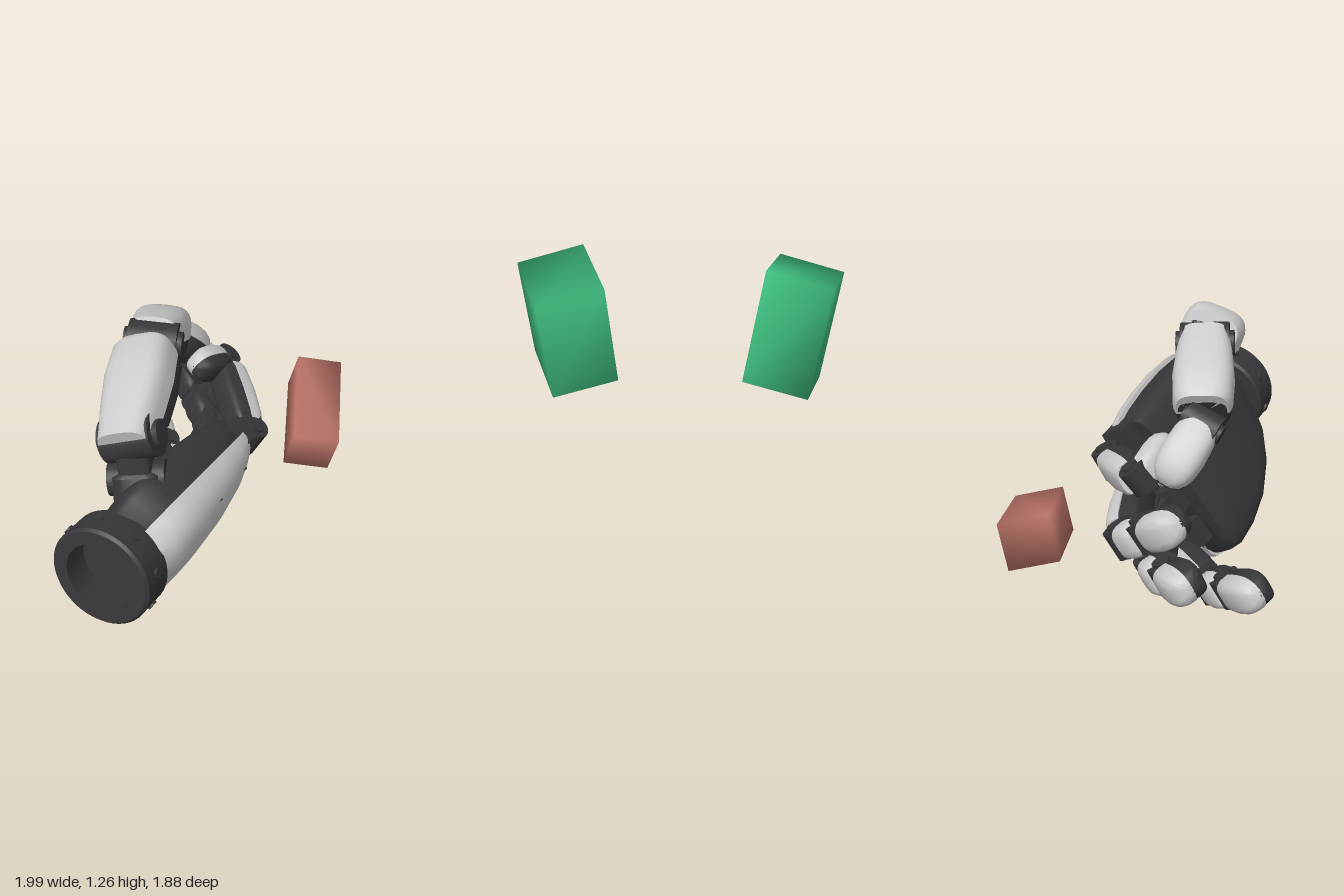
import * as THREE from 'three';
import { mergeVertices, toCreasedNormals } from 'three/addons/utils/BufferGeometryUtils.js';

const V = (x, y, z) => new THREE.Vector3(x, y, z);
const light = new THREE.MeshStandardMaterial({ color: 0xcccccc });
const dark = new THREE.MeshStandardMaterial({ color: 0x37373a });
const green = new THREE.MeshStandardMaterial({ color: 0x3fbf7f });
const red = new THREE.MeshStandardMaterial({ color: 0xbb7468 });

function add(parent, name, geometry, material) {
  const mesh = new THREE.Mesh(geometry, material);
  mesh.name = name;
  parent.add(mesh);
  return mesh;
}

// Skin over rounded sections [z, x, y, halfWidth, halfHeight]; floor flattens the
// underside, slant(x, z) leans the sections along z
function loft(sections, power = 3.5, floor = -1, n = 28, slant = () => 0) {
  const pos = [], idx = [];
  const soft = (s) => Math.sign(s) * Math.pow(Math.abs(s), 2 / power);
  for (const [z, x, y, w, h] of sections) {
    for (let j = 0; j < n; j++) {
      const a = (j / n) * Math.PI * 2, px = x + w * soft(Math.cos(a));
      pos.push(px, y + h * Math.max(soft(Math.sin(a)), floor), z + slant(px, z));
    }
  }
  const last = sections.length - 1;
  for (let i = 0; i < last; i++) {
    for (let j = 0; j < n; j++) {
      const a = i * n + j, b = i * n + ((j + 1) % n);
      idx.push(a, b, b + n, a, b + n, a + n);
    }
  }
  for (const i of [0, last]) {
    const [z, x, y] = sections[i], c = pos.length / 3;
    pos.push(x, y, z + slant(x, z));
    for (let j = 0; j < n; j++) {
      const a = i * n + j, b = i * n + ((j + 1) % n);
      i ? idx.push(a, b, c) : idx.push(b, a, c);
    }
  }
  const g = new THREE.BufferGeometry();
  g.setAttribute('position', new THREE.Float32BufferAttribute(pos, 3));
  g.setIndex(idx);
  return toCreasedNormals(g, 0.75);
}

// Group at p whose z runs along dir, x along the hinge and y out of the back
function frame(name, p, dir, hinge) {
  const z = dir.clone().normalize();
  const x = hinge.clone().addScaledVector(z, -hinge.dot(z)).normalize();
  const y = z.clone().cross(x);
  const g = new THREE.Group();
  g.name = name;
  g.applyMatrix4(new THREE.Matrix4().makeBasis(x, y, z).setPosition(p));
  return g;
}

const pin = (r, len) => new THREE.CylinderGeometry(r, r, len, 24).rotateZ(Math.PI / 2);

// One finger segment: hinge, dark core, pale cover on the back.
// start is where the cover begins along the length, lift its height over the core
function segment(parent, name, p, q, hinge, w, t, tip, start = 0.06, lift = 1.08) {
  const dir = q.clone().sub(p), L = dir.length();
  const g = frame(name, p, dir, hinge);
  parent.add(g);
  add(g, 'hinge', pin(t * 0.42, w * 0.8), dark);
  for (const s of [-1, 1]) {
    add(g, 'hingeCap', pin(t * 0.25, w * 0.1), dark).position.x = s * w * 0.43;
    add(g, 'hingeFork', new THREE.BoxGeometry(w * 0.16, t * 0.6, L * 0.28), dark)
      .position.set(s * w * 0.32, 0, L * 0.13);
  }
  const a = w / 2, b = t / 2;
  // [fraction of length, scale]
  const steps = tip
    ? [[0.2, 0.94], [0.5, 1], [0.7, 0.95], [0.84, 0.83], [0.94, 0.6], [1, 0.25]]
    : [[0.2, 0.92], [0.5, 1], [0.8, 0.95], [0.87, 0.84]];
  const body = (first, sx, sy, y) => [[first, 0.78], ...steps].map(([f, s]) => [f * L, 0, y, a * sx * s, b * sy * s]);
  add(g, 'core', loft(body(0.12, 0.93, 0.9, -b * 0.1), 4), dark);
  add(g, 'cover', loft(body(start, 1, lift, 0), 3.4, 0), light);
}

// Block with edge vectors a, b, c, softly shaded
function block(parent, name, center, a, b, c, material) {
  let g = new THREE.BoxGeometry(1, 1, 1);
  g.deleteAttribute('normal');
  g.deleteAttribute('uv');
  g = mergeVertices(g);
  g.applyMatrix4(new THREE.Matrix4().makeBasis(a, b, c));
  g.computeVertexNormals();
  add(parent, name, g, material).position.copy(center);
}

export function createModel() {
  const model = new THREE.Group();
  model.name = 'robotHandWithBlocks';

  // Loose blocks
  block(model, 'greenBlock', V(0.767, 1.009, 0.722),
    V(0.166, 0.07, 0.157), V(-0.108, 0.404, -0.06), V(-0.18, -0.022, 0.207), green);
  block(model, 'redBlock', V(0.366, 0.374, -0.14),
    V(0.31, 0.1, -0.268), V(0.002, 0.16, 0.055), V(0.13, -0.037, 0.12), red);

  // Hand frame: x to the thumb side, y out of the back of the hand, z to the fingers
  const across = V(0.26, 0.85, 0.45);
  const hand = frame('hand', V(-0.875, 0.49, 0.065), V(0.94, -0.13, -0.31), across);
  model.add(hand);

  // Wrist ring with bolts around it
  const ring = [[0.13, -0.07], [0.178, -0.07], [0.188, -0.06], [0.188, 0.06], [0.178, 0.07], [0.13, 0.07], [0.13, -0.07]];
  const wrist = new THREE.LatheGeometry(ring.map(([r, y]) => new THREE.Vector2(r, y)), 48);
  add(hand, 'wristRing', toCreasedNormals(wrist.rotateX(Math.PI / 2), 0.6), dark);
  add(hand, 'wristPlate', new THREE.CylinderGeometry(0.135, 0.135, 0.03, 40).rotateX(Math.PI / 2), dark).position.z = 0.05;
  for (let i = 0; i < 8; i++) {
    const a = (i / 8) * Math.PI * 2;
    const bolt = add(hand, 'wristBolt', new THREE.CylinderGeometry(0.018, 0.018, 0.012, 16), dark);
    bolt.position.set(-Math.sin(a) * 0.189, Math.cos(a) * 0.189, 0);
    bolt.rotation.z = a;
  }

  // Palm: [along, top edge, bottom edge, back height], the finger end leaning back below
  const lean = (x, z) => 0.13 * (x - 0.25) * (z / 0.72) ** 2;
  const outline = [[0.05, 0.19, -0.17, 0.13], [0.09, 0.24, -0.25, 0.16], [0.18, 0.272, -0.34, 0.178],
    [0.32, 0.28, -0.415, 0.18], [0.48, 0.275, -0.455, 0.17], [0.62, 0.262, -0.468, 0.15],
    [0.69, 0.25, -0.455, 0.13], [0.725, 0.24, -0.42, 0.115]];
  add(hand, 'palm', loft(outline.map(([z, t, b, h]) =>
    [z, (t + b) / 2, -0.035, (t - b) / 2 - 0.014, h * 0.64]), 4.5, -1, 48, lean), dark);
  add(hand, 'backCover', loft(outline.map(([z, t, b, h]) =>
    [z, (t + b) / 2, 0, (t - b) / 2, h]), 2.8, 0.08, 48, lean), light);
  for (const [x, y, z] of [[0.21, 0.107, 0.38], [0.19, 0.092, 0.62], [-0.33, 0.105, 0.3]]) {
    add(hand, 'coverScrew', new THREE.CylinderGeometry(0.016, 0.016, 0.04, 16), dark).position.set(x, y, z);
  }

  // Knuckle blocks
  for (const x of [0.18, 0.03, -0.13, -0.29]) {
    add(hand, 'knuckle', new THREE.BoxGeometry(0.11, 0.11, 0.14), dark)
      .position.set(x, 0, 0.72 + lean(x, 0.72));
  }

  // Fingers: base, middle joint, tip, width
  const fingers = [
    ['indexFinger', V(-0.035, 0.495, -0.11), V(0.14, 0.6, -0.425), V(-0.04, 0.68, -0.39), 0.14],
    ['middleFinger', V(-0.13, 0.39, -0.16), V(0.19, 0.37, -0.41), V(0.19, 0.54, -0.68), 0.145],
    ['ringFinger', V(-0.19, 0.245, -0.22), V(0.13, 0.265, -0.5), V(0.25, 0.36, -0.79), 0.145],
    ['littleFinger', V(-0.24, 0.09, -0.27), V(-0.04, 0.18, -0.62), V(0.07, 0.33, -0.94), 0.14],
  ];
  for (const [name, base, joint, tip, w] of fingers) {
    const g = new THREE.Group();
    g.name = name;
    model.add(g);
    segment(g, 'lowerSegment', base, joint, across, w, w * 0.95, false);
    if (name === 'indexFinger') {
      segment(g, 'fingertip', joint, tip, across, w * 0.9, w * 0.85, true);
    } else {
      const bend = joint.clone().lerp(tip, 0.4);
      segment(g, 'middleSegment', joint, bend, across, w * 0.95, w * 0.95, false, 0.14);
      segment(g, 'fingertip', bend, tip, across, w * 0.95, w * 0.95, true);
    }
  }

  // Thumb arching over towards the index finger
  const thumb = new THREE.Group();
  thumb.name = 'thumb';
  model.add(thumb);
  const hinge = V(-0.64, 0.08, -0.77), tilted = V(-0.51, -0.33, -0.8);
  const root = V(-0.65, 0.6, -0.02), j1 = V(-0.63, 0.84, -0.07), j2 = V(-0.3, 0.955, -0.32);
  const j3 = V(-0.05, 0.78, -0.54), end = V(0.12, 0.6, -0.53);
  const mount = frame('thumbMount', root, j1.clone().sub(root), hinge);
  thumb.add(mount);
  add(mount, 'mountBlock', loft([[0, 0, 0, 0.09, 0.075], [0.12, 0, 0, 0.085, 0.07],
    [0.13, 0, 0, 0.06, 0.06], [0.25, 0, 0, 0.06, 0.06]], 5), dark);
  add(mount, 'mountPin', pin(0.06, 0.2), dark).position.z = 0.09;
  segment(thumb, 'lowerSegment', j1, j2, tilted, 0.24, 0.19, false, -0.14, 1.35);
  segment(thumb, 'upperSegment', j2, j3, hinge, 0.22, 0.18, false, -0.05, 1.28);
  segment(thumb, 'fingertip', j3, end, hinge, 0.16, 0.14, true, 0);

  return model;
}
